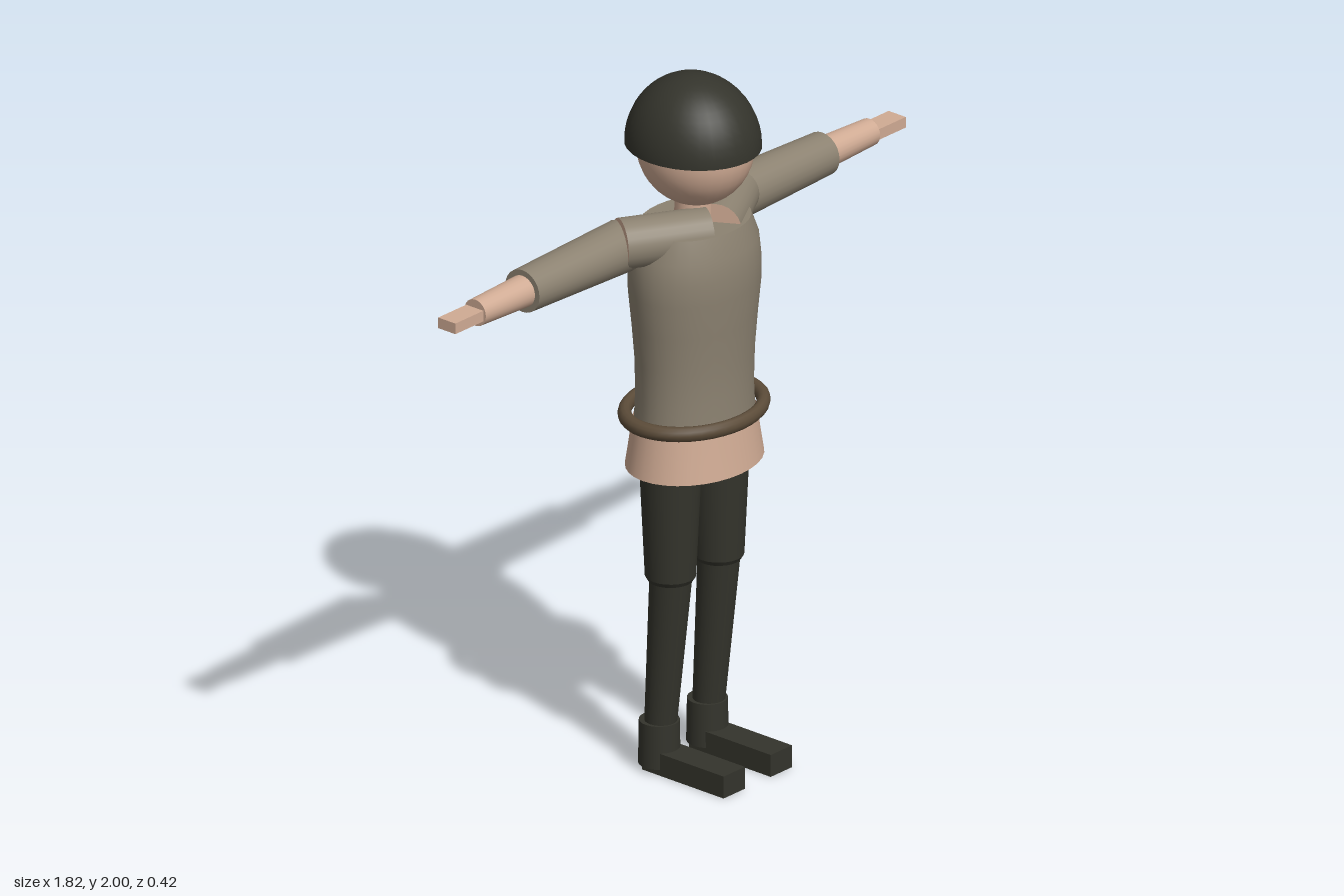
import * as THREE from 'three';

const mat = (name, color, double) => {
  const m = new THREE.MeshStandardMaterial({ color });
  m.name = name;
  if (double) m.side = THREE.DoubleSide;
  return m;
};

export function createModel() {
  const model = new THREE.Group();
  model.name = 'figure';
  const skin = mat('skin', 0xd0ab94, true);
  const knit = mat('sweater', 0x8c8271);
  const dark = mat('dark cloth', 0x34342c, true);
  const leather = mat('belt leather', 0x5c4c39);

  const add = (name, geometry, material, parent = model) => {
    const mesh = new THREE.Mesh(geometry, material);
    mesh.name = name;
    parent.add(mesh);
    return mesh;
  };

  // tapered round limb from a to b
  const limb = (name, a, b, ra, rb, material, parent) => {
    const from = new THREE.Vector3(...a), to = new THREE.Vector3(...b);
    const dir = to.clone().sub(from);
    const mesh = add(name, new THREE.CylinderGeometry(rb, ra, dir.length(), 24), material, parent);
    mesh.position.copy(from).add(to).multiplyScalar(0.5);
    mesh.quaternion.setFromUnitVectors(new THREE.Vector3(0, 1, 0), dir.normalize());
    return mesh;
  };

  const box = (name, x, y, z, material, parent) => {
    const mesh = add(name, new THREE.BoxGeometry(x[1] - x[0], y[1] - y[0], z[1] - z[0]), material, parent);
    mesh.position.set((x[0] + x[1]) / 2, (y[0] + y[1]) / 2, (z[0] + z[1]) / 2);
    return mesh;
  };

  // lathe with oval section: rows of [half width, y], squashed in depth
  const oval = (name, rows, depth, z, material) => {
    const mesh = add(name, new THREE.LatheGeometry(rows.map(p => new THREE.Vector2(...p)), 32), material);
    mesh.scale.z = depth;
    mesh.position.z = z;
    return mesh;
  };

  // Head, helmet and neck
  const head = add('head', new THREE.SphereGeometry(1, 32, 20), skin);
  head.scale.set(0.155, 0.165, 0.163);
  head.position.set(0, 1.8, -0.012);
  const helmet = add('helmet', new THREE.SphereGeometry(1, 32, 12, 0, Math.PI * 2, 0, Math.PI / 2), dark);
  helmet.scale.set(0.175, 0.2, 0.192);
  helmet.position.set(0, 1.8, -0.02);
  limb('neck', [0, 1.55, -0.02], [0, 1.68, -0.015], 0.055, 0.05, skin);

  // Sweater body, hips and belt
  oval('torso', [[0.186, 1.0], [0.181, 1.1], [0.184, 1.2], [0.193, 1.3], [0.204, 1.4],
    [0.204, 1.46], [0.197, 1.52], [0.173, 1.583]], 0.77, -0.015, knit);
  const top = add('torsoTop', new THREE.CircleGeometry(0.173, 32), knit);
  top.rotation.x = -Math.PI / 2;
  top.scale.y = 0.77;
  top.position.set(0, 1.583, -0.015);
  oval('hips', [[0.21, 0.885], [0.199, 0.95], [0.188, 1.02]], 0.79, -0.015, skin);
  const belt = add('belt', new THREE.TorusGeometry(0.208, 0.021, 12, 40), leather);
  belt.rotation.x = Math.PI / 2;
  belt.scale.set(1, 0.8, 1);
  belt.position.set(0, 1.035, -0.017);

  // Arms and legs, one set per side
  for (const [side, s] of [['left', 1], ['right', -1]]) {
    const arm = new THREE.Group();
    arm.name = side + 'Arm';
    model.add(arm);
    const ay = 1.548, az = -0.094;
    limb('shoulder', [s * 0.018, 1.566, 0.045], [s * 0.228, 1.566, -0.077], 0.07, 0.07, [knit, skin, skin], arm);
    limb('sleeve', [s * 0.205, ay, az], [s * 0.605, ay, az], 0.073, 0.061, knit, arm);
    limb('forearm', [s * 0.55, ay, az], [s * 0.795, ay, az], 0.047, 0.038, skin, arm);
    const hand = box('hand', [0.795, 0.908], [1.531, 1.562], [-0.126, -0.065], skin, arm);
    hand.position.x *= s;

    const leg = new THREE.Group();
    leg.name = side + 'Leg';
    model.add(leg);
    const lx = s * 0.097;
    limb('thigh', [lx, 0.575, -0.015], [lx, 0.96, -0.015], 0.069, 0.087, dark, leg);
    limb('knee', [lx, 0.562, -0.015], [lx, 0.575, -0.015], 0.061, 0.069, dark, leg);
    limb('shin', [lx, 0.1, -0.053], [lx, 0.58, -0.013], 0.043, 0.058, dark, leg);
    limb('ankleCuff', [lx, 0.017, -0.055], [lx, 0.142, -0.055], 0.057, 0.055, dark, leg);
    const foot = box('foot', [0.052, 0.138], [0, 0.064], [-0.08, 0.21], dark, leg);
    foot.position.x *= s;
  }
  return model;
}
